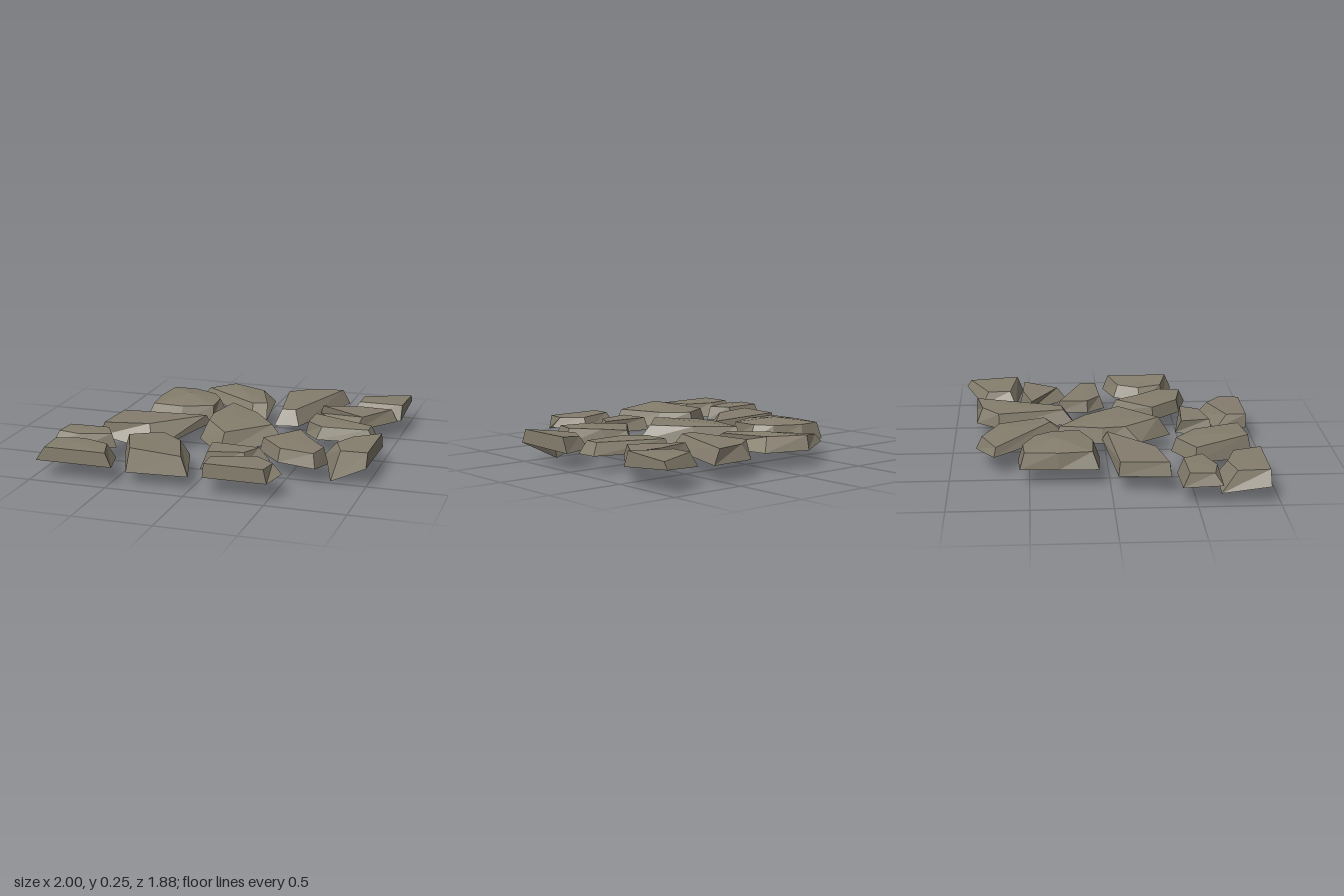
import * as THREE from 'three';

const material = new THREE.MeshStandardMaterial({
  color: 0x857e6e, flatShading: true, side: THREE.DoubleSide,
});

// One paving stone: an open-bottomed shell with a slightly domed top and sloping sides.
// Each corner is [rimX, rimZ, topX, topZ, rimY, topY], going clockwise seen from above.
function stone(name, height, peak, corners) {
  const rim = corners.map(([x, z, , , y = 0.11]) => [x, y, z]);
  const top = corners.map(([, , x, z, , y = height]) => [x, y, z]);
  const n = corners.length;
  const mid = [0, peak, 0];
  for (const [x, , z] of top) {
    mid[0] += x / n;
    mid[2] += z / n;
  }
  const pos = [];
  for (let i = 0; i < n; i++) {
    const j = (i + 1) % n;
    pos.push(...mid, ...top[j], ...top[i]); // top
    pos.push(...top[i], ...top[j], ...rim[j], ...top[i], ...rim[j], ...rim[i]); // side
  }
  const geometry = new THREE.BufferGeometry();
  geometry.setAttribute('position', new THREE.Float32BufferAttribute(pos, 3));
  geometry.computeVertexNormals();
  const mesh = new THREE.Mesh(geometry, material);
  mesh.name = name;
  return mesh;
}

export function createModel() {
  const group = new THREE.Group();
  group.name = 'pavingStones';
  group.add(
    // back row
    stone('backStone', 0.2, 0.21, [
      [-0.45, -0.72, -0.4, -0.71, 0.13, 0.18], [-0.22, -0.84, -0.24, -0.8],
      [0.07, -0.75, 0, -0.69], [0.14, -0.28, 0.11, -0.4], [0.04, -0.26, 0.02, -0.36]]),
    stone('backTallStone', 0.205, 0.21, [
      [0.28, -0.85, 0.32, -0.81], [0.58, -0.86, 0.53, -0.85], [0.38, -0.22, 0.34, -0.28],
      [0.22, -0.19, 0.25, -0.27], [0.16, -0.7, 0.18, -0.7]]),
    stone('backCornerStone', 0.195, 0.2, [
      [0.67, -0.82, 0.7, -0.78], [1, -0.94, 1, -0.91, 0.145, 0.19],
      [1, -0.54, 1, -0.58, 0.11, 0.21], [0.64, -0.59, 0.7, -0.63]]),
    stone('wedgeStone', 0.19, 0.19, [
      [0.46, -0.5, 0.48, -0.48, 0.13], [0.71, -0.56, 0.72, -0.54],
      [0.98, -0.53, 0.94, -0.53], [0.76, -0.23, 0.79, -0.3]]),

    // middle rows
    stone('leftEdgeStone', 0.19, 0.195, [
      [0.47, -0.31, 0.48, -0.29], [0.93, -0.15, 0.89, -0.13], [0.94, -0.01, 0.89, -0.03],
      [0.56, 0.02, 0.59, -0.01], [0.46, -0.1, 0.48, -0.1]]),
    stone('domedStone', 0.215, 0.245, [
      [-0.62, -0.56, -0.6, -0.53], [-0.44, -0.57, -0.45, -0.54], [-0.26, -0.47, -0.28, -0.46],
      [-0.16, -0.36, -0.21, -0.35], [-0.2, -0.15, -0.2, -0.18], [-0.4, -0.06, -0.39, -0.1],
      [-0.64, -0.07, -0.6, -0.11], [-0.63, -0.32, -0.62, -0.32]]),
    stone('centreStone', 0.21, 0.22, [
      [-0.11, -0.35, -0.1, -0.3], [0.14, -0.16, 0.12, -0.13, 0.04], [0.38, 0.12, 0.29, 0.1],
      [0.04, 0.43, 0.05, 0.35, 0.09], [-0.16, 0.22, -0.13, 0.12], [-0.17, -0.03, -0.15, -0.03]]),
    stone('slantedStone', 0.2, 0.2, [
      [-0.76, 0.04, -0.75, 0.05], [-0.17, -0.03, -0.19, 0, 0.14],
      [-0.42, 0.39, -0.48, 0.29, 0.05], [-0.79, 0.36, -0.77, 0.35]]),
    stone('kiteStone', 0.195, 0.2, [
      [0.48, 0.05, 0.48, 0.1], [0.56, 0.22, 0.57, 0.24], [0.74, 0.41, 0.71, 0.41, 0.09],
      [0.7, 0.59, 0.68, 0.55], [0.45, 0.53, 0.46, 0.51], [0.28, 0.34, 0.3, 0.33]]),
    stone('edgeStone', 0.19, 0.195, [
      [1, 0.03, 1, 0.07, 0.11, 0.21], [1, 0.52, 1, 0.48, 0.12, 0.21],
      [0.77, 0.47, 0.82, 0.43, 0], [0.69, 0.28, 0.76, 0.27], [0.79, 0.1, 0.83, 0.13]]),

    // front rows
    stone('smallSideStone', 0.2, 0.205, [
      [-0.97, 0.41, -0.96, 0.45], [-0.71, 0.4, -0.7, 0.44], [-0.6, 0.56, -0.63, 0.56],
      [-0.82, 0.66, -0.82, 0.63], [-1, 0.65, -0.97, 0.6, 0.13]]),
    stone('frontCornerStone', 0.2, 0.205, [
      [-0.97, 0.64, -0.93, 0.74, 0.07], [-0.73, 0.64, -0.76, 0.7], [-0.53, 0.74, -0.58, 0.76],
      [-0.48, 0.94, -0.52, 0.94], [-0.98, 0.94, -0.92, 0.94]]),
    stone('frontTallStone', 0.2, 0.21, [
      [-0.33, 0.4, -0.33, 0.43], [-0.11, 0.55, -0.17, 0.56], [-0.01, 0.88, -0.06, 0.86, 0.08],
      [-0.4, 0.91, -0.38, 0.88, 0.08, 0.23], [-0.55, 0.53, -0.52, 0.54]]),
    stone('smallWedgeStone', 0.19, 0.19, [
      [0.02, 0.46, 0.02, 0.5], [0.4, 0.52, 0.33, 0.52],
      [0.28, 0.66, 0.27, 0.64], [0.01, 0.71, 0.05, 0.69, 0.08]]),
    stone('frontStone', 0.2, 0.2, [
      [0.08, 0.74, 0.11, 0.81], [0.41, 0.64, 0.37, 0.71], [0.56, 0.82, 0.5, 0.81, 0.14],
      [0.5, 0.94, 0.48, 0.94], [0.1, 0.94, 0.11, 0.94]]),
  );
  return group;
}
